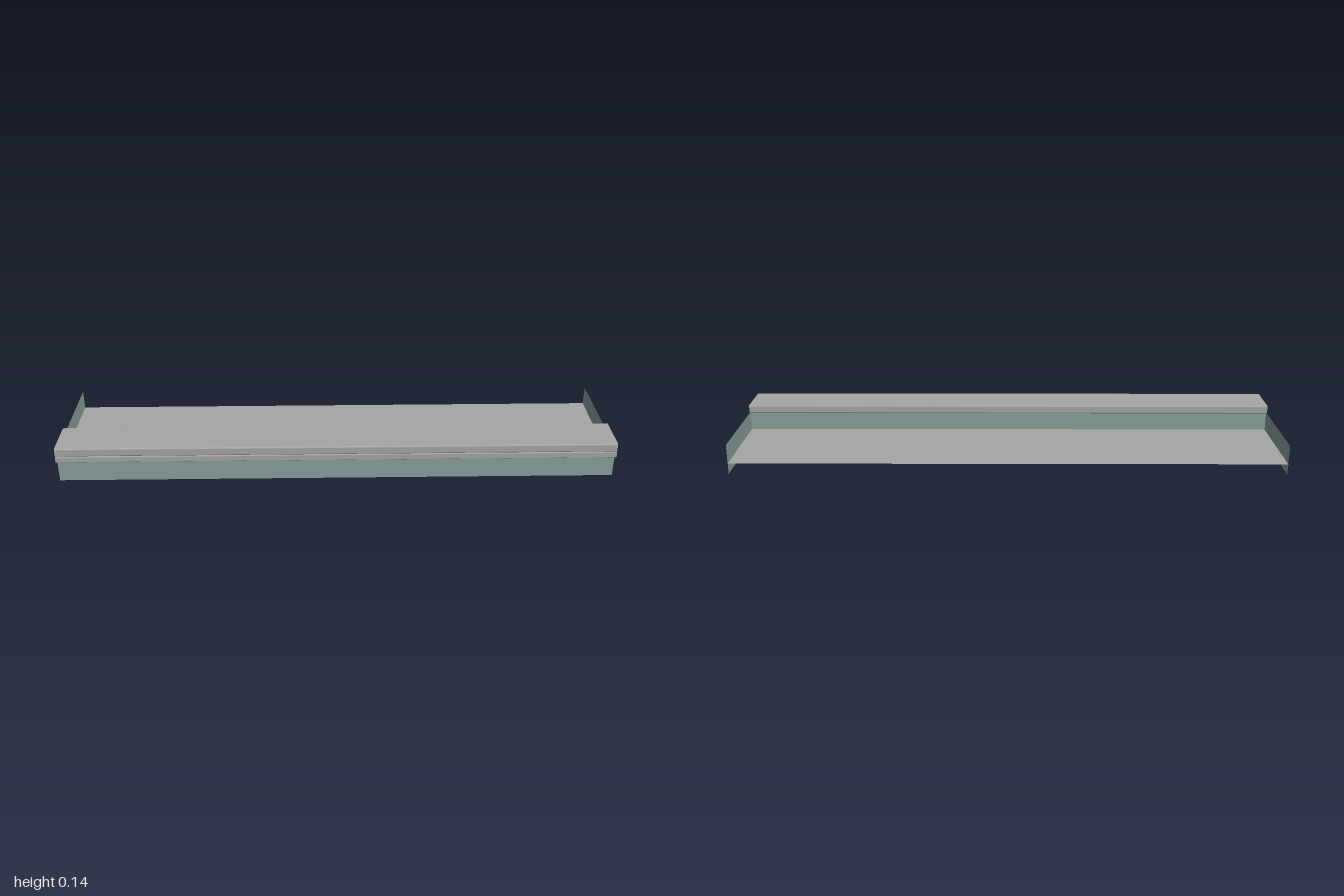
import * as THREE from 'three';

const LENGTH = 2;
const wallBack = 0.11, wallFront = 0.23, backEdge = -0.25;

// Rounded bar running along x, its section given in z and y
function roundedBar(z0, z1, y0, y1, r, length) {
  const s = new THREE.Shape();
  s.moveTo(z0 + r, y0);
  s.lineTo(z1 - r, y0);
  s.absarc(z1 - r, y0 + r, r, -Math.PI / 2, 0);
  s.lineTo(z1, y1 - r);
  s.absarc(z1 - r, y1 - r, r, 0, Math.PI / 2);
  s.lineTo(z0 + r, y1);
  s.absarc(z0 + r, y1 - r, r, Math.PI / 2, Math.PI);
  s.lineTo(z0, y0 + r);
  s.absarc(z0 + r, y0 + r, r, Math.PI, Math.PI * 1.5);
  const g = new THREE.ExtrudeGeometry(s, { depth: length, bevelEnabled: false, curveSegments: 5 });
  g.translate(0, 0, -length / 2);
  g.rotateY(-Math.PI / 2);
  return g;
}

export function createModel() {
  const group = new THREE.Group();
  const teal = new THREE.MeshStandardMaterial({ color: 0x88a09c, side: THREE.DoubleSide });
  teal.name = 'grey green';
  const grey = new THREE.MeshStandardMaterial({ color: 0xa6a6a4, side: THREE.DoubleSide });
  grey.name = 'stone grey';

  const add = (name, geometry, material, x = 0, y = 0, z = 0) => {
    const mesh = new THREE.Mesh(geometry, material);
    mesh.name = name;
    mesh.position.set(x, y, z);
    group.add(mesh);
    return mesh;
  };

  // Solid front wall, reaching slightly into the coping
  const wallHeight = 0.117;
  add('frontWall', new THREE.BoxGeometry(LENGTH, wallHeight, wallFront - wallBack), teal,
    0, wallHeight / 2, (wallFront + wallBack) / 2);

  // Thin end panels behind the wall
  const depth = wallBack - backEdge, midZ = (wallBack + backEdge) / 2;
  for (const side of [-1, 1]) {
    const panel = new THREE.PlaneGeometry(depth, 0.11).rotateY(side * Math.PI / 2);
    add(side > 0 ? 'leftEndPanel' : 'rightEndPanel', panel, teal, side * LENGTH / 2, 0.055, midZ);
  }

  // Thin deck between the panels
  add('deck', new THREE.PlaneGeometry(LENGTH, depth).rotateX(-Math.PI / 2), grey, 0, 0.04, midZ);

  // Coping slab over the wall and the narrow strip under its front edge
  add('coping', roundedBar(0.095, 0.25, 0.11, 0.1415, 0.005, LENGTH - 0.001), grey);
  add('frontStrip', roundedBar(0.239, 0.25, 0.0865, 0.1085, 0.002, LENGTH), grey);

  return group;
}
